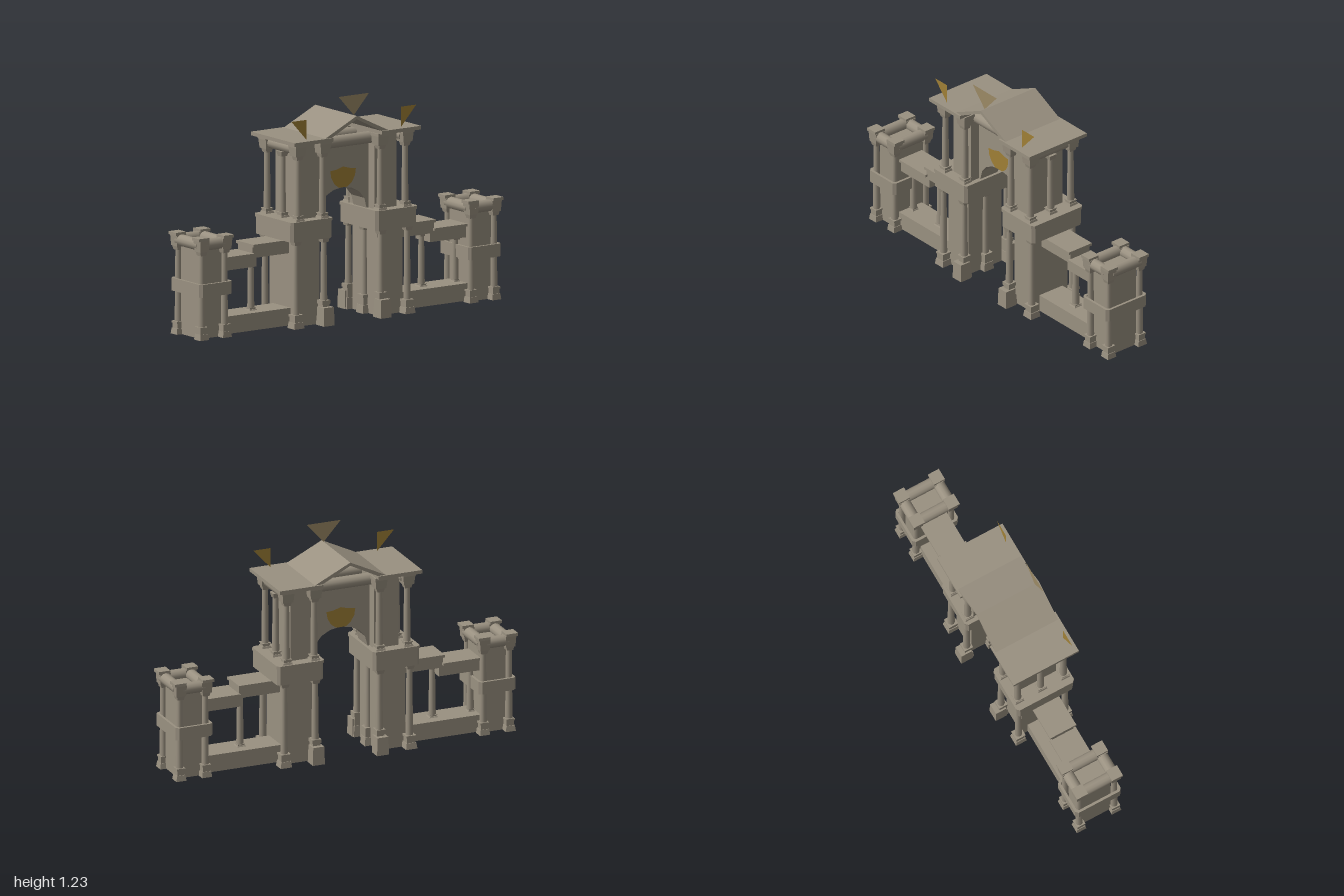
import * as THREE from 'three';

const stone = new THREE.MeshStandardMaterial({ color: 0x9a9181 });
stone.name = 'stone';
const gold = new THREE.MeshStandardMaterial({ color: 0xa08036, side: THREE.DoubleSide });
gold.name = 'gold';
const paleGold = new THREE.MeshStandardMaterial({ color: 0x9c8a66, side: THREE.DoubleSide });
paleGold.name = 'paleGold';

function add(parent, name, geometry, material = stone) {
  const mesh = new THREE.Mesh(geometry, material);
  mesh.name = name;
  parent.add(mesh);
  return mesh;
}

// Box given by its limits on each axis
function box(parent, name, x0, x1, y0, y1, z0, z1) {
  const g = new THREE.BoxGeometry(x1 - x0, y1 - y0, z1 - z0);
  g.translate((x0 + x1) / 2, (y0 + y1) / 2, (z0 + z1) / 2);
  return add(parent, name, g);
}

// Square block that widens or narrows from bottom to top
function block(parent, name, x, z, y0, y1, w0, w1) {
  const g = new THREE.CylinderGeometry(w1 / Math.SQRT2, w0 / Math.SQRT2, y1 - y0, 4).toNonIndexed();
  g.rotateY(Math.PI / 4);
  g.computeVertexNormals();
  g.translate(x, (y0 + y1) / 2, z);
  return add(parent, name, g);
}

// Column with stepped foot, tapering shaft and flared capital
function column(parent, x, z, y0, y1, foot, width = 0.066) {
  const g = new THREE.Group();
  g.name = 'column';
  const mid = y0 + foot * 0.45;
  block(g, 'plinth', x, z, y0, mid, width, width * 0.86);
  block(g, 'foot', x, z, mid, y0 + foot * 0.85, width * 0.74, width * 0.74);
  block(g, 'footRim', x, z, y0 + foot * 0.85, y0 + foot, width * 0.86, width * 0.86);
  const top = y1 - 0.027;
  const shaft = new THREE.CylinderGeometry(0.016, 0.02, top - y0 - foot, 10);
  shaft.translate(x, (top + y0 + foot) / 2, z);
  add(g, 'shaft', shaft);
  block(g, 'capital', x, z, top, y1, 0.036, 0.048);
  parent.add(g);
}

// Horizontal roll between two points
function roll(parent, name, a, b, r) {
  const p = new THREE.Vector3(...a), q = new THREE.Vector3(...b);
  const m = add(parent, name, new THREE.CylinderGeometry(r, r, p.distanceTo(q), 12));
  m.position.copy(p).lerp(q, 0.5);
  m.quaternion.setFromUnitVectors(new THREE.Vector3(0, 1, 0), q.sub(p).normalize());
}

// Chamfered rectangular outline
function outline(w, d, c) {
  const pts = [[w - c, -d], [w, -d + c], [w, d - c], [w - c, d], [-w + c, d], [-w, d - c], [-w, -d + c], [-w + c, -d]];
  return pts.map(p => new THREE.Vector2(...p));
}

// Band around a tower, optionally hollow
function band(parent, name, x, y0, y1, w, d, hollow) {
  const s = new THREE.Shape(outline(w, d, 0.015));
  if (hollow) s.holes.push(new THREE.Path(outline(w - 0.014, d - 0.014, 0.01).reverse()));
  const g = new THREE.ExtrudeGeometry(s, { depth: y1 - y0, bevelEnabled: false });
  g.rotateX(-Math.PI / 2);
  g.translate(x, y0, 0);
  add(parent, name, g);
}

function pylon() {
  const g = new THREE.Group();
  box(g, 'lowerCore', 0.19, 0.355, 0, 0.49, -0.115, 0.115);
  box(g, 'upperCore', 0.17, 0.315, 0.57, 1.0, -0.115, 0.115);
  // Storey band with a thin upper rim
  band(g, 'storeyBand', 0.279, 0.473, 0.565, 0.135, 0.172, false);
  band(g, 'storeyRim', 0.279, 0.565, 0.582, 0.138, 0.177, false);
  for (const s of [-1, 1]) {
    column(g, 0.365, s * 0.142, 0, 0.478, 0.075);
    block(g, 'innerPlinth', 0.187, s * 0.165, 0, 0.1, 0.07, 0.064);
    column(g, 0.187, s * 0.148, 0, 0.478, 0.135, 0.06);
    for (const x of [0.19, 0.352]) {
      column(g, x, s * 0.14, 0.58, 0.94, 0.03, 0.056);
      block(g, 'cornerBlock', x, s * 0.138, 0.935, 0.988, 0.06, 0.07);
      block(g, 'cornerBlockRim', x, s * 0.138, 0.985, 1.0, 0.074, 0.074);
    }
  }
  column(g, 0.187, 0, 0, 0.478, 0.1);
  column(g, 0.352, 0, 0.58, 0.94, 0.03, 0.056);
  roll(g, 'sideRoll', [0.345, 0.968, -0.14], [0.345, 0.968, 0.14], 0.032);
  box(g, 'roofSlab', 0.16, 0.415, 1.0, 1.02, -0.2, 0.2);
  return g;
}

function endTower() {
  const g = new THREE.Group();
  box(g, 'core', 0.808, 0.955, 0, 0.5, -0.088, 0.088);
  band(g, 'waistBand', 0.883, 0.235, 0.305, 0.107, 0.14, true);
  for (const s of [-1, 1]) {
    for (const x of [0.81, 0.96]) {
      column(g, x, s * 0.107, 0, 0.485, 0.07, 0.058);
      block(g, 'cornerBlock', x, s * 0.107, 0.48, 0.542, 0.054, 0.062);
      block(g, 'cornerBlockRim', x + (x > 0.9 ? 0.006 : -0.006), s * 0.107, 0.54, 0.556, 0.067, 0.067);
    }
    roll(g, 'frontRoll', [0.82, 0.513, s * 0.105], [0.95, 0.513, s * 0.105], 0.032);
  }
  for (const x of [0.81, 0.96]) roll(g, 'sideRoll', [x, 0.513, -0.1], [x, 0.513, 0.1], 0.032);
  return g;
}

function wing() {
  const g = new THREE.Group();
  box(g, 'lowWall', 0.35, 0.82, 0.005, 0.1, -0.08, 0.08);
  // Two stepped beams with cover slabs
  box(g, 'highBeam', 0.34, 0.595, 0.395, 0.455, -0.066, 0.066);
  box(g, 'highCover', 0.34, 0.6, 0.455, 0.47, -0.08, 0.08);
  box(g, 'lowBeam', 0.57, 0.81, 0.347, 0.408, -0.066, 0.066);
  box(g, 'lowCover', 0.59, 0.81, 0.408, 0.422, -0.08, 0.08);
  column(g, 0.56, 0, 0.1, 0.4, 0.014, 0.05);
  column(g, 0.782, 0, 0.1, 0.355, 0.014, 0.04);
  return g;
}

export function createModel() {
  const model = new THREE.Group();
  model.name = 'gateway';
  for (const s of [-1, 1]) {
    const side = new THREE.Group();
    side.name = s > 0 ? 'leftSide' : 'rightSide';
    for (const [name, make] of [['pylon', pylon], ['wing', wing], ['endTower', endTower]]) {
      const part = make();
      part.name = name;
      side.add(part);
    }
    // Half turn keeps face order; every side part is the same front and back
    if (s < 0) side.rotation.y = Math.PI;
    model.add(side);
  }

  // Arched wall between the pylons
  const wall = new THREE.Shape();
  wall.moveTo(-0.18, 0.94);
  wall.lineTo(-0.18, 0.57);
  wall.lineTo(-0.16, 0.57);
  for (let i = 0; i <= 8; i++) {
    const a = Math.PI * (1 - i / 8);
    wall.lineTo(0.155 * Math.cos(a), 0.59 + 0.122 * Math.sin(a));
  }
  wall.lineTo(0.16, 0.57);
  wall.lineTo(0.18, 0.57);
  wall.lineTo(0.18, 0.94);
  const wallGeo = new THREE.ExtrudeGeometry(wall, { depth: 0.12, bevelEnabled: false });
  wallGeo.translate(0, 0, -0.06);
  add(model, 'archWall', wallGeo);

  // Gable over the middle, open at both ends
  const gable = new THREE.Shape([[-0.21, 1.018], [-0.165, 1.018], [0, 1.102], [0.165, 1.018], [0.21, 1.018], [0, 1.12]]
    .map(p => new THREE.Vector2(...p)));
  const gableGeo = new THREE.ExtrudeGeometry(gable, { depth: 0.38, bevelEnabled: false });
  gableGeo.translate(0, 0, -0.19);
  add(model, 'gableRoof', gableGeo);

  // Lintel rolls and gold emblems, front and back
  const emblem = new THREE.Shape([[-0.084, 0.808], [-0.078, 0.77], [-0.058, 0.735], [-0.028, 0.712], [0.028, 0.712],
    [0.058, 0.735], [0.078, 0.77], [0.084, 0.808], [0.045, 0.812], [0, 0.825], [-0.045, 0.812]].map(p => new THREE.Vector2(...p)));
  for (const s of [-1, 1]) {
    roll(model, 'lintelRoll', [-0.18, 0.968, s * 0.075], [0.18, 0.968, s * 0.075], 0.033);
    add(model, 'emblem', new THREE.ShapeGeometry(emblem), gold).position.z = s * 0.065;
  }

  // Triangular pennants near the front edge of the roof
  const pennant = (name, pts, material) => {
    const shape = new THREE.Shape(pts.map(p => new THREE.Vector2(...p)));
    add(model, name, new THREE.ShapeGeometry(shape), material).position.z = 0.163;
  };
  pennant('middlePennant', [[0, 1.12], [0.1, 1.23], [-0.1, 1.23]], paleGold);
  pennant('leftPennant', [[0.31, 1.02], [0.41, 1.13], [0.31, 1.13]], gold);
  pennant('rightPennant', [[-0.31, 1.02], [-0.31, 1.13], [-0.41, 1.13]], gold);
  return model;
}
